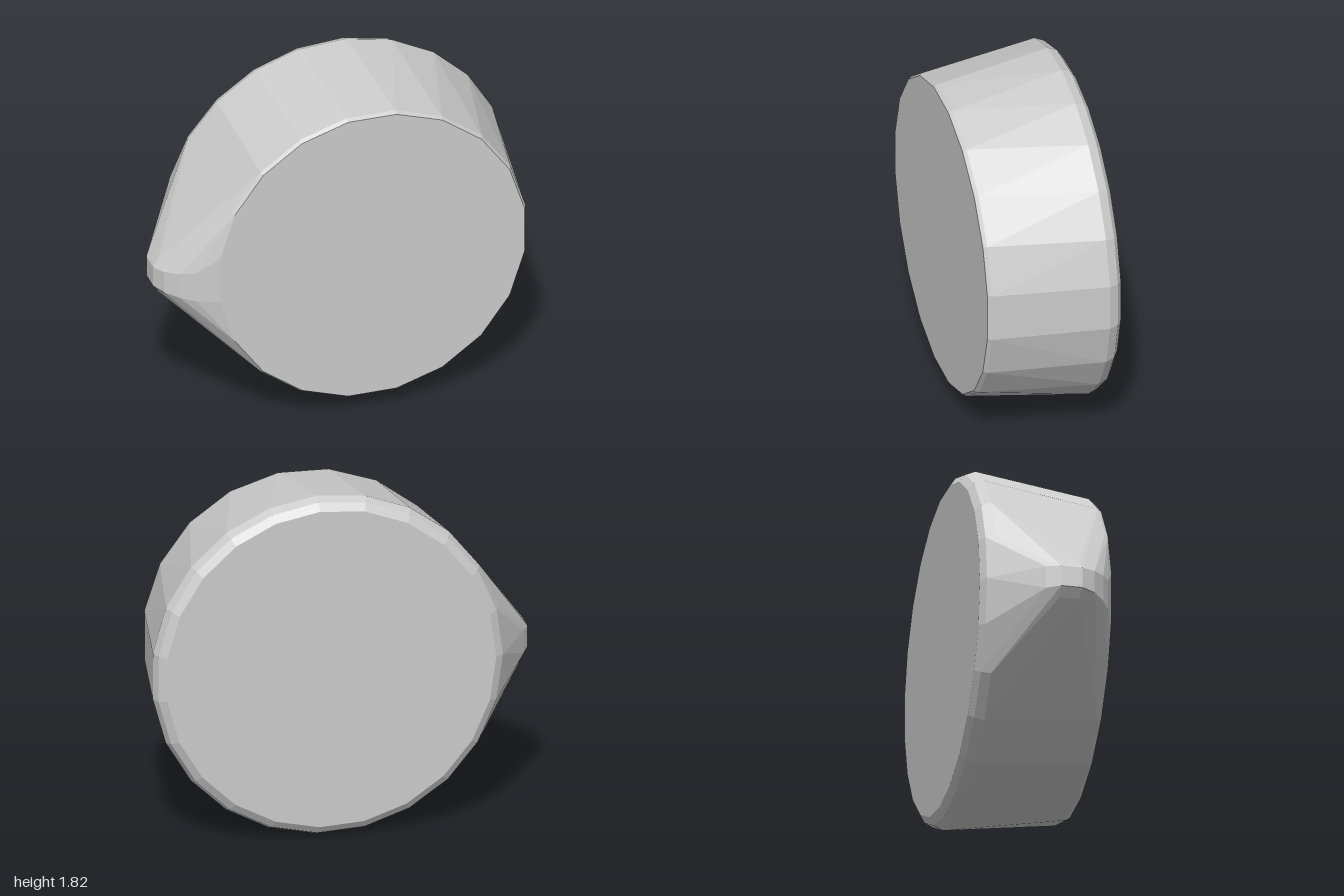
import * as THREE from 'three';
import { ConvexGeometry } from 'three/addons/geometries/ConvexGeometry.js';

// One ring of points facing z, around the axis of the drum
function ring(radius, z, sides, phaseDeg) {
  const phase = THREE.MathUtils.degToRad(phaseDeg);
  return Array.from({ length: sides }, (_, i) => {
    const a = phase + (i / sides) * Math.PI * 2;
    return new THREE.Vector3(0.09 + radius * Math.cos(a), 0.91 + radius * Math.sin(a), z);
  });
}

export function createModel() {
  const group = new THREE.Group();
  group.name = 'pointedKnob';

  // Tapered drum: small front face, wide back with a rounded rim
  const points = [
    ...ring(0.815, 0.345, 20, 9),
    ...ring(0.828, 0.325, 20, 9),
    ...ring(0.91, -0.27, 23, 8),
    ...ring(0.89, -0.318, 23, 8),
    ...ring(0.85, -0.345, 23, 8),
  ];

  // Blunt rounded nose, as cross-sections [x, half height, z back, z front]
  const noseY = 0.865;
  for (const [x, h, z0, z1] of [
    [-1.0, 0.055, 0.02, 0.13],
    [-0.965, 0.06, -0.05, 0.2],
    [-0.965, 0.105, 0.02, 0.12],
    [-0.9, 0.07, 0.0, 0.26],
    [-0.83, 0.08, 0.0, 0.3],
  ]) {
    for (const s of [-1, 1]) {
      for (const z of [z0, z1]) points.push(new THREE.Vector3(x, noseY + s * h, z));
    }
  }

  // The drum and nose are wrapped in one taut convex skin
  const body = new THREE.Mesh(
    new ConvexGeometry(points),
    new THREE.MeshStandardMaterial({ color: 0xcccccc, flatShading: true })
  );
  body.name = 'body';
  group.add(body);
  return group;
}
